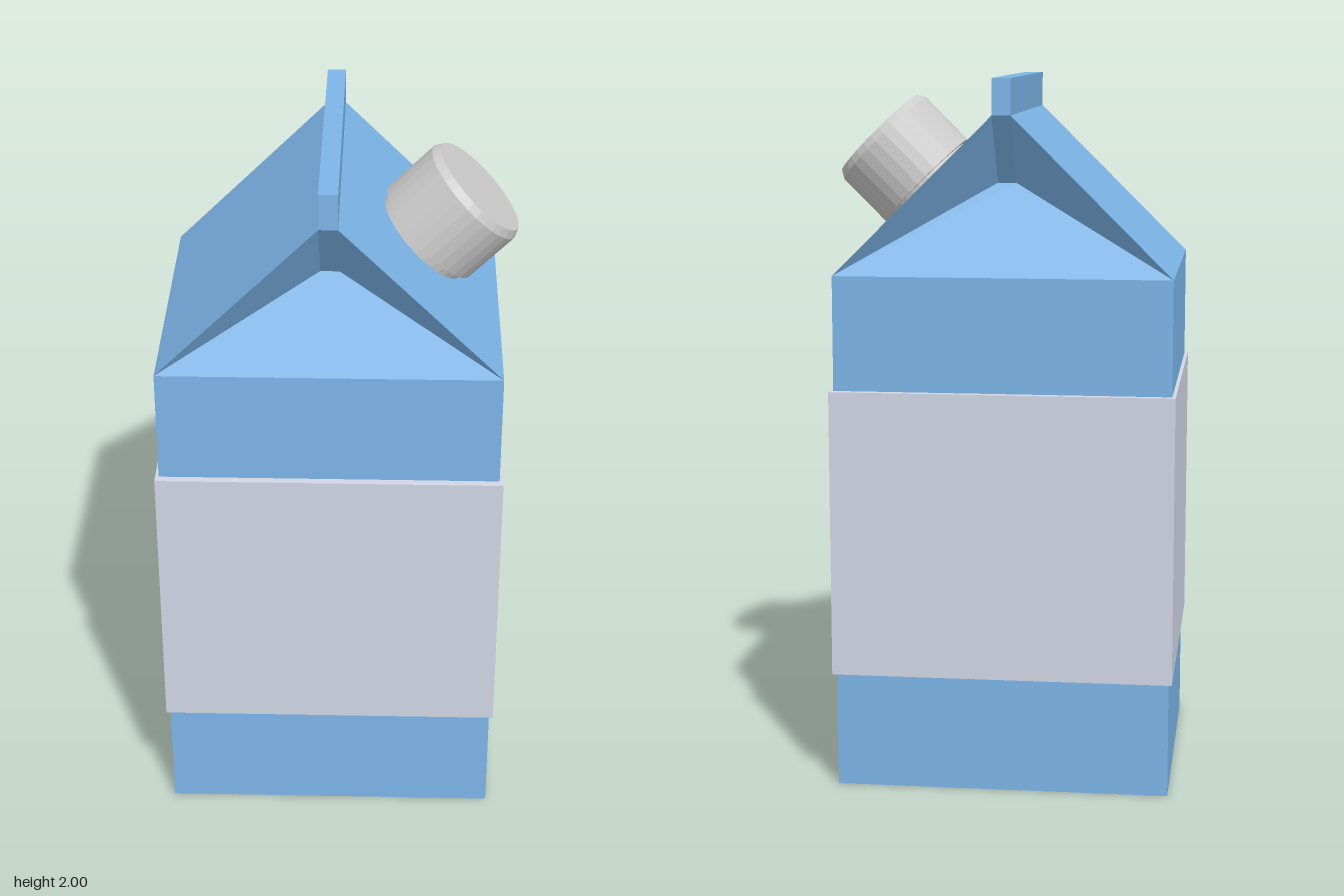
import * as THREE from 'three';

const BLUE = 0x7cb5e8, LABEL = 0xd1d6e6, GREY = 0xcccccc;
const CX = -0.02;            // centre line of the carton
const W = 0.47, D = 0.42;    // half width and half depth
const EAVE = 1.46, RIDGE = 1.9, TOP = 2;
const R = 0.026;             // half thickness of the ridge
const FOLD_Y = 1.71, FOLD_Z = D - 0.14; // inner end of the tucked gable

function material(color) {
  return new THREE.MeshStandardMaterial({ color, flatShading: true });
}

function add(parent, name, geometry, color) {
  const mesh = new THREE.Mesh(geometry, material(color));
  mesh.name = name;
  parent.add(mesh);
  return mesh;
}

// Flat geometry from convex polygons, corners counter-clockwise from outside
function fromPolygons(polygons) {
  const pos = [];
  for (const p of polygons) {
    for (let i = 1; i < p.length - 1; i++) pos.push(...p[0], ...p[i], ...p[i + 1]);
  }
  const g = new THREE.BufferGeometry();
  g.setAttribute('position', new THREE.Float32BufferAttribute(pos, 3));
  g.computeVertexNormals();
  return g;
}

// Roof: two slopes, and a gable folded inwards at each end
function roofGeometry() {
  const polygons = [];
  for (const s of [1, -1]) {
    // s turns the half roof by 180 degrees about y
    const v = (x, y, z) => [s * x, y, s * z];
    const eL = v(-W, EAVE, D), eR = v(W, EAVE, D), eRBack = v(W, EAVE, -D);
    const rL = v(-R, RIDGE, D), rR = v(R, RIDGE, D), rRBack = v(R, RIDGE, -D);
    const fL = v(-R, FOLD_Y, FOLD_Z), fR = v(R, FOLD_Y, FOLD_Z);
    polygons.push(
      [eR, eRBack, rRBack, rR], // slope
      [eL, eR, fR, fL],         // lower gable panel
      [eL, fL, rL],             // tucked side flaps
      [eR, rR, fR],
      [fL, fR, rR, rL],         // underside of the ridge
    );
  }
  return fromPolygons(polygons);
}

export function createModel() {
  const model = new THREE.Group();
  model.name = 'drinkCarton';

  // Carton
  const carton = new THREE.Group();
  carton.name = 'carton';
  carton.position.x = CX;
  model.add(carton);
  add(carton, 'body', new THREE.BoxGeometry(2 * W, EAVE, 2 * D), BLUE).position.y = EAVE / 2;
  add(carton, 'gableRoof', roofGeometry(), BLUE);
  add(carton, 'topSeam', new THREE.BoxGeometry(2 * R, TOP - RIDGE, 2 * D), BLUE)
    .position.y = (TOP + RIDGE) / 2;

  // Wrapped label band
  add(carton, 'labelBand', new THREE.BoxGeometry(0.96, 0.81, 0.886), LABEL).position.y = 0.735;

  // Screw cap, standing square on the right-hand slope
  const spout = new THREE.Group();
  spout.name = 'spout';
  spout.position.set(0.249, 1.696, 0);
  spout.rotation.z = -Math.PI / 4;
  model.add(spout);
  const profile = [[0, 0], [0.168, 0], [0.168, 0.171], [0.155, 0.193], [0, 0.193]];
  add(spout, 'cap', new THREE.LatheGeometry(profile.map(([x, y]) => new THREE.Vector2(x, y)), 32), GREY);
  add(spout, 'neck', new THREE.CylinderGeometry(0.15, 0.15, 0.06, 32), GREY).position.y = -0.025;

  return model;
}
